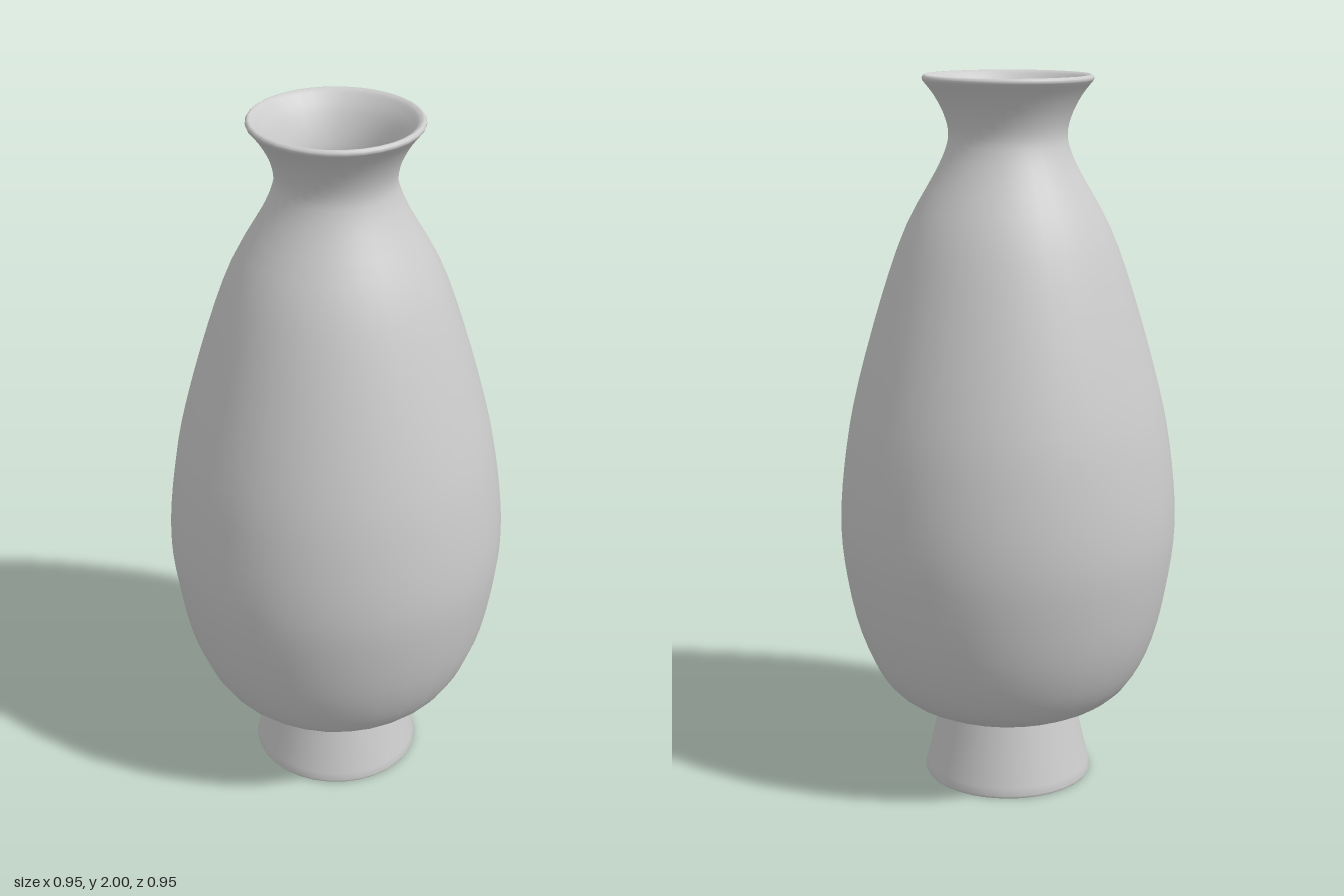
import * as THREE from 'three';

const SEGMENTS = 32;
const toPoints = (pairs) => pairs.map(([r, y]) => new THREE.Vector2(r, y));

// Smooth profile through a few radius/height pairs
const smooth = (pairs, divisions) => new THREE.SplineCurve(toPoints(pairs)).getPoints(divisions);

export function createModel() {
  const group = new THREE.Group();
  const ceramic = new THREE.MeshStandardMaterial({ color: 0xcccccc });
  ceramic.name = 'pale grey ceramic';

  const turn = (name, points) => {
    const mesh = new THREE.Mesh(new THREE.LatheGeometry(points, SEGMENTS), ceramic);
    mesh.name = name;
    group.add(mesh);
  };

  // Foot: flat underside and flared side
  turn('footUnderside', toPoints([[0, 0], [0.237, 0]]));
  turn('foot', toPoints([[0.237, 0], [0.241, 0.008], [0.236, 0.03], [0.215, 0.115], [0.196, 0.2]]));

  // Outer wall up to the lip, over the rounded rim and down into the neck
  const outer = smooth([
    [0.196, 0.2], [0.307, 0.25], [0.375, 0.325], [0.43, 0.46], [0.465, 0.64],
    [0.473, 0.78], [0.46, 0.94], [0.43, 1.11], [0.36, 1.365], [0.285, 1.58],
    [0.2, 1.735], [0.17, 1.8], [0.162, 1.845], [0.174, 1.895], [0.2, 1.945], [0.231, 1.985],
  ], 48);
  const rim = smooth([[0.231, 1.985], [0.232, 1.993], [0.224, 2], [0.211, 1.993]], 8);
  const neck = smooth([[0.211, 1.993], [0.182, 1.955], [0.157, 1.9], [0.144, 1.845], [0.151, 1.8]], 14);
  turn('bodyAndRim', [...outer, ...rim.slice(1), ...neck.slice(1)]);

  // Hollow inside, from the neck down to the floor
  turn('innerWall', smooth([
    [0.151, 1.8], [0.181, 1.735], [0.264, 1.58], [0.339, 1.365], [0.409, 1.11],
    [0.439, 0.94], [0.452, 0.78], [0.444, 0.64], [0.41, 0.47], [0.357, 0.34],
    [0.295, 0.27], [0.19, 0.225],
  ], 30));
  turn('innerFloor', toPoints([[0.19, 0.225], [0, 0.225]]));

  return group;
}
